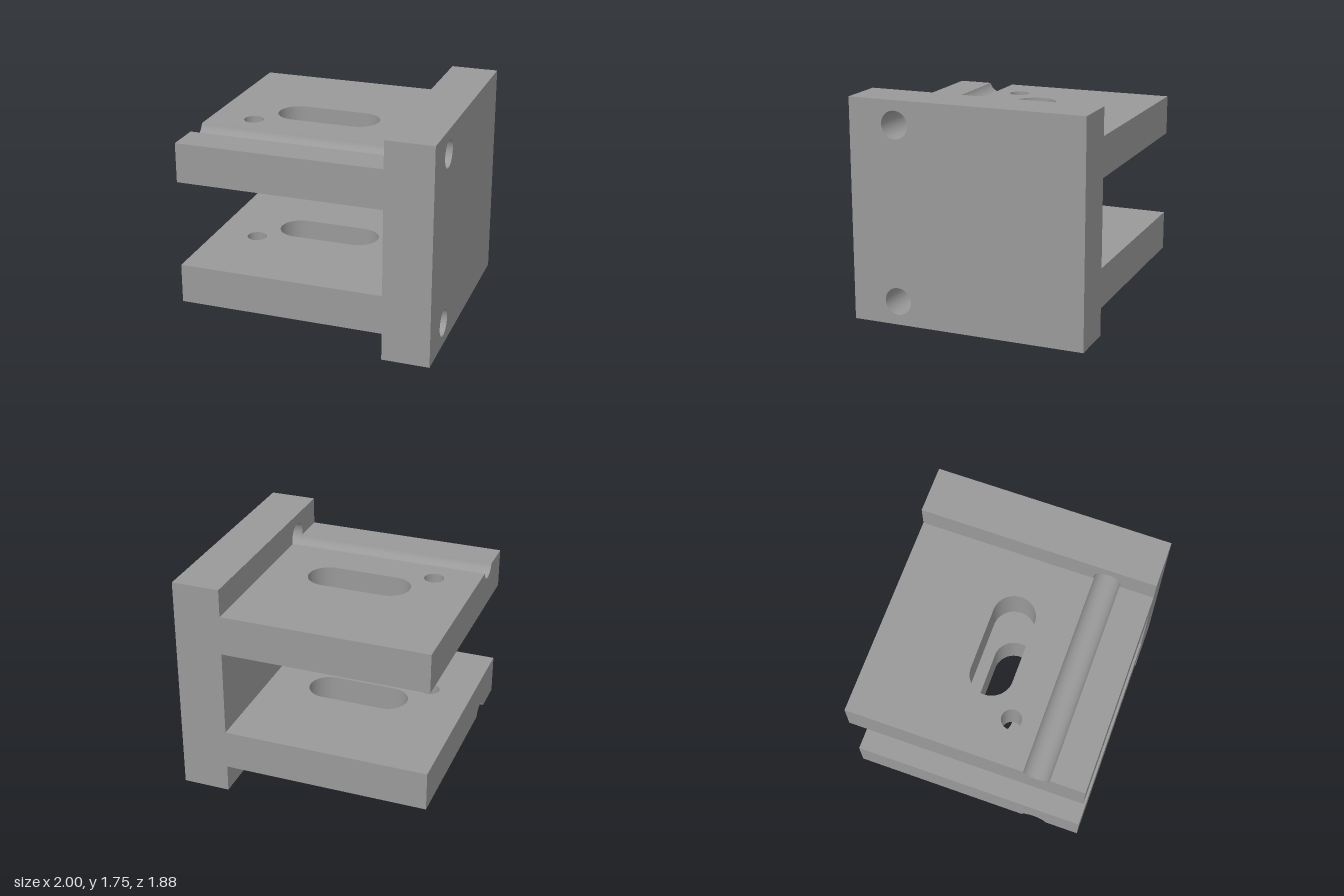
import * as THREE from 'three';

const HEIGHT = 1.75, HALF = 0.9375;      // wall height, half depth
const WALL_X = 0.625;                    // inner face of the wall
const LOW = 1.2188, HIGH = 1.5312;       // upper shelf faces
const BORE = { z: 0.5625, y: 1.5625, r: 0.1075 };

const metal = new THREE.MeshStandardMaterial({ color: 0x999999 });
metal.name = 'grey metal';

function polygon(points) {
  return new THREE.Shape(points.map(([x, y]) => new THREE.Vector2(x, y)));
}

function circle(x, y, r) {
  return new THREE.Path().absarc(x, y, r, 0, Math.PI * 2, true);
}

// Shapes use -z as one axis, so both extrusions land in place after rotation.
function extrude(name, shape, depth) {
  const geometry = new THREE.ExtrudeGeometry(shape, { depth, bevelEnabled: false, curveSegments: 32 });
  const mesh = new THREE.Mesh(geometry, metal);
  mesh.name = name;
  return mesh;
}

function extrudeAlongX(name, shape, from, to) {
  const mesh = extrude(name, shape, to - from);
  mesh.geometry.rotateY(Math.PI / 2).translate(from, 0, 0);
  return mesh;
}

function extrudeAlongY(name, shape, from, to) {
  const mesh = extrude(name, shape, to - from);
  mesh.geometry.rotateX(-Math.PI / 2).translate(0, from, 0);
  return mesh;
}

// side = 1 is the upper shelf, side = -1 its mirror image below
function makeShelf(name, side) {
  const shelf = new THREE.Group();
  shelf.name = name;
  const flip = (y) => (side > 0 ? y : HEIGHT - y);
  const angle = Math.asin((BORE.y - HIGH) / BORE.r);
  const grooveEdge = BORE.z - BORE.r * Math.cos(angle);

  // Flat plate with a long slot and a small pin hole
  const plate = polygon([[-1, -grooveEdge], [WALL_X, -grooveEdge], [WALL_X, HALF], [-1, HALF]]);
  const slot = new THREE.Path();
  const slotZ = 0.01, slotR = 0.165;
  slot.absarc(0.124, slotZ, slotR, -Math.PI / 2, Math.PI / 2, false);
  slot.absarc(-0.374, slotZ, slotR, Math.PI / 2, Math.PI * 1.5, false);
  slot.closePath();
  plate.holes.push(slot, circle(-0.653, -0.247, 0.078));
  const ys = [flip(LOW), flip(HIGH)].sort((a, b) => a - b);
  shelf.add(extrudeAlongY('slottedPlate', plate, ys[0], ys[1]));

  // Front strip with a round groove along its outer face
  const strip = new THREE.Shape();
  strip.moveTo(-HALF, flip(LOW));
  strip.lineTo(-grooveEdge, flip(LOW));
  strip.lineTo(-grooveEdge, flip(HIGH));
  strip.absarc(-BORE.z, flip(BORE.y), BORE.r, -side * angle, side * (angle - Math.PI), side > 0);
  strip.lineTo(-HALF, flip(HIGH));
  strip.closePath();
  shelf.add(extrudeAlongX('groovedStrip', strip, -1, WALL_X));
  return shelf;
}

export function createModel() {
  const model = new THREE.Group();
  model.name = 'bracket';

  // Upright wall with two bores in line with the grooves
  const wall = polygon([[-HALF, 0], [HALF, 0], [HALF, HEIGHT], [-HALF, HEIGHT]]);
  for (const y of [BORE.y, HEIGHT - BORE.y]) wall.holes.push(circle(-BORE.z, y, BORE.r));
  model.add(extrudeAlongX('wall', wall, WALL_X, 1));

  model.add(makeShelf('upperShelf', 1), makeShelf('lowerShelf', -1));
  return model;
}
